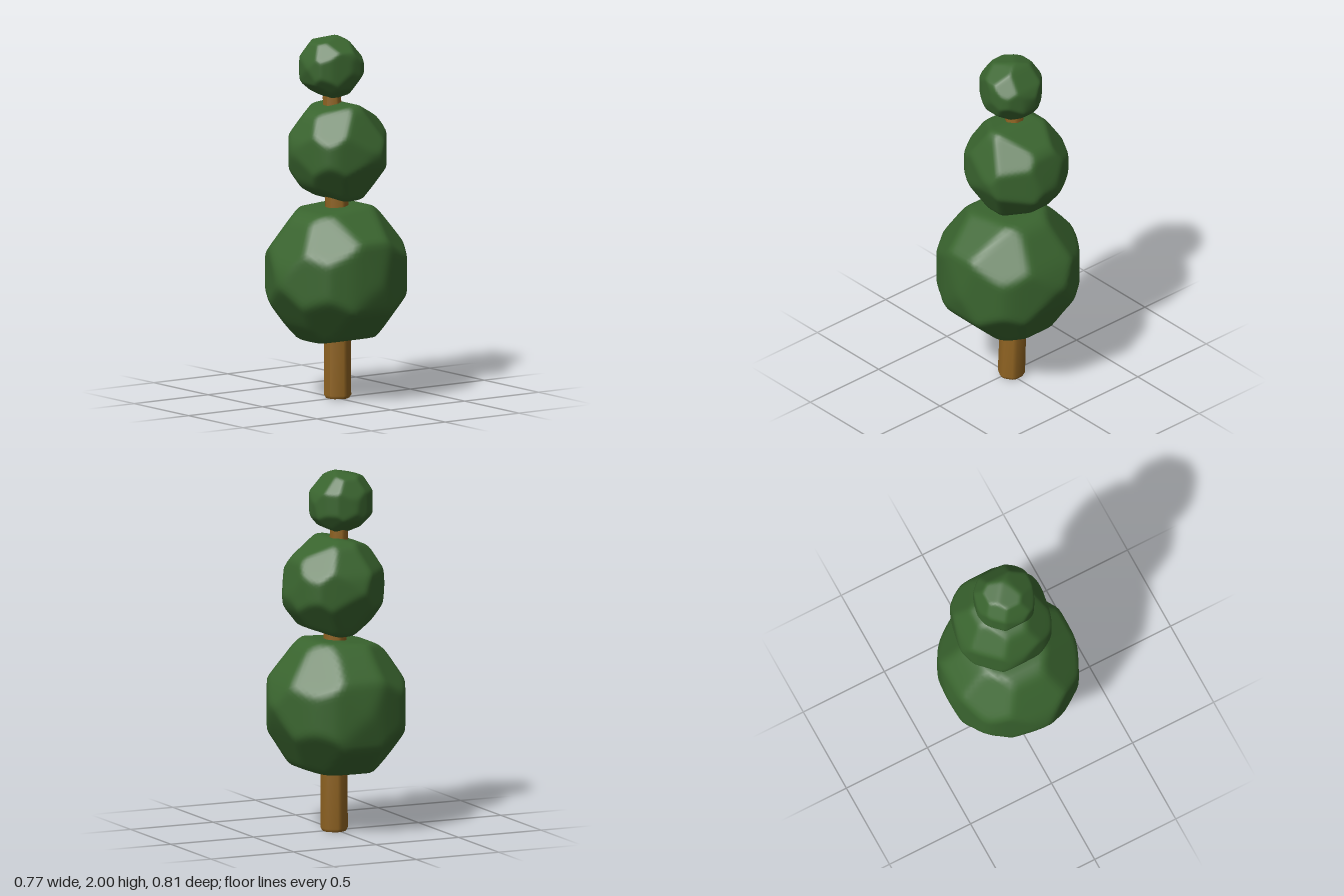
import * as THREE from 'three';
import { mergeVertices } from 'three/addons/utils/BufferGeometryUtils.js';

const leafMaterial = new THREE.MeshStandardMaterial({ color: 0x3a652f });
const barkMaterial = new THREE.MeshStandardMaterial({ color: 0x8f6322 });

// Clipping planes from the edges of a profile drawn in two of the axes (0 = x, 1 = y, 2 = z)
function profilePlanes(points, u, v, centre) {
  return points.map((a, i) => {
    const b = points[(i + 1) % points.length];
    const normal = new THREE.Vector3();
    normal.setComponent(u, b[1] - a[1]).setComponent(v, a[0] - b[0]).normalize();
    const corner = centre.clone().setComponent(u, a[0]).setComponent(v, a[1]);
    const distance = normal.dot(corner.sub(centre));
    return distance < 0 ? [normal.negate(), -distance] : [normal, distance];
  });
}

// A foliage ball clipped by its three profiles and eight corner facets, with softened edges
function foliage(name, centreXYZ, radius, front, side, top) {
  const centre = new THREE.Vector3(...centreXYZ);
  const planes = [
    ...profilePlanes(front, 0, 1, centre),
    ...profilePlanes(side, 2, 1, centre),
    ...profilePlanes(top, 0, 2, centre),
  ];
  for (const x of [-1, 1]) for (const y of [-1, 1]) for (const z of [-1, 1]) {
    planes.push([new THREE.Vector3(x, y, z).normalize(), radius * 0.96]);
  }
  let geometry = new THREE.IcosahedronGeometry(1, 17);
  geometry.deleteAttribute('normal');
  geometry.deleteAttribute('uv');
  geometry = mergeVertices(geometry, 1e-5);
  const position = geometry.attributes.position;
  const d = new THREE.Vector3();
  for (let i = 0; i < position.count; i++) {
    d.fromBufferAttribute(position, i).normalize();
    let sum = 0;
    for (const [n, h] of planes) sum += Math.max(0, radius * n.dot(d) / h) ** 70;
    d.multiplyScalar(radius * sum ** (-1 / 70)).add(centre);
    position.setXYZ(i, d.x, d.y, d.z);
  }
  geometry.computeVertexNormals();
  const mesh = new THREE.Mesh(geometry, leafMaterial);
  mesh.name = name;
  return mesh;
}

// Slightly bent, tapering six-sided trunk with chamfered edges and foot
function trunk() {
  // height, centre x, centre z, radius
  const rings = [
    [0, -0.01, -0.015, 0.064],
    [0.018, -0.01, -0.015, 0.075],
    [0.33, -0.018, -0.02, 0.073],
    [0.7, -0.018, -0.016, 0.068],
    [1.08, -0.01, -0.01, 0.063],
    [1.36, -0.025, -0.005, 0.057],
    [1.65, -0.044, -0.002, 0.05],
    [1.78, -0.045, 0, 0.045],
  ];
  const last = rings.length - 1;
  const geometry = new THREE.CylinderGeometry(1, 1, last, 12, last, false, Math.PI / 12);
  const position = geometry.attributes.position;
  const step = Math.PI / 3;
  for (let i = 0; i < position.count; i++) {
    const [y, cx, cz, r] = rings[Math.round(position.getY(i) + last / 2)];
    const reach = r * Math.hypot(position.getX(i), position.getZ(i));
    // Pull the twelve sides into pairs around the six corners
    const angle = Math.atan2(position.getX(i), position.getZ(i));
    const corner = (Math.floor(angle / step) + 0.5) * step;
    const pulled = corner + (angle - corner) * 0.6;
    position.setXYZ(i, cx + reach * Math.sin(pulled), y, cz + reach * Math.cos(pulled));
  }
  geometry.computeVertexNormals();
  const mesh = new THREE.Mesh(geometry, barkMaterial);
  mesh.name = 'trunk';
  return mesh;
}

export function createModel() {
  const group = new THREE.Group();
  group.name = 'topiaryTree';
  group.add(trunk());

  // Profiles: front as [x, y], side as [z, y], top as [x, z]
  group.add(foliage('lowerFoliage', [0, 0.69, 0], 0.395,
    [[-0.165, 1.07], [0.13, 1.07], [0.36, 0.9], [0.387, 0.66], [0.35, 0.51], [0.18, 0.345],
      [0, 0.307], [-0.17, 0.33], [-0.35, 0.49], [-0.392, 0.68], [-0.36, 0.865], [-0.24, 1.01]],
    [[0.19, 1.04], [-0.15, 1.075], [-0.22, 1.035], [-0.36, 0.84], [-0.41, 0.72], [-0.375, 0.62],
      [-0.245, 0.37], [-0.15, 0.335], [0.1, 0.305], [0.18, 0.325], [0.27, 0.41], [0.415, 0.655],
      [0.385, 0.76], [0.25, 1]],
    [[-0.05, -0.415], [0.03, -0.4], [0.24, -0.305], [0.29, -0.265], [0.325, -0.2], [0.39, -0.03],
      [0.355, 0.14], [0.295, 0.265], [0.24, 0.305], [0.045, 0.41], [-0.025, 0.4], [-0.255, 0.3],
      [-0.295, 0.265], [-0.375, 0.09], [-0.393, 0.02], [-0.355, -0.165], [-0.3, -0.255], [-0.25, -0.3]]));

  group.add(foliage('middleFoliage', [-0.03, 1.36, -0.03], 0.278,
    [[-0.14, 1.63], [0.13, 1.63], [0.16, 1.6], [0.253, 1.37], [0.24, 1.31], [0.13, 1.11],
      [0.08, 1.088], [-0.15, 1.088], [-0.2, 1.115], [-0.313, 1.355], [-0.29, 1.44], [-0.2, 1.595]],
    [[-0.045, 1.637], [-0.24, 1.545], [-0.27, 1.51], [-0.315, 1.315], [-0.29, 1.245], [-0.22, 1.15],
      [-0.045, 1.087], [-0.01, 1.087], [0.165, 1.16], [0.195, 1.2], [0.253, 1.365], [0.24, 1.42],
      [0.165, 1.567], [0.13, 1.592]],
    [[-0.09, -0.308], [0.02, -0.319], [0.05, -0.305], [0.23, -0.16], [0.253, -0.12], [0.253, -0.08],
      [0.2, 0.13], [0.17, 0.175], [0.12, 0.205], [-0.04, 0.247], [-0.1, 0.247], [-0.14, 0.225],
      [-0.27, 0.1], [-0.313, 0.03], [-0.295, -0.06], [-0.25, -0.215], [-0.2, -0.26]]));

  group.add(foliage('upperFoliage', [-0.035, 1.825, 0.015], 0.177,
    [[-0.03, 2.003], [0, 1.995], [0.125, 1.92], [0.137, 1.88], [0.137, 1.81], [0.105, 1.715],
      [-0.015, 1.648], [-0.07, 1.66], [-0.185, 1.735], [-0.207, 1.78], [-0.2, 1.86], [-0.15, 1.965]],
    [[-0.02, 2.003], [-0.055, 1.98], [-0.14, 1.88], [-0.162, 1.83], [-0.15, 1.745], [-0.115, 1.7],
      [0, 1.648], [0.045, 1.663], [0.165, 1.74], [0.192, 1.83], [0.18, 1.87], [0.13, 1.965]],
    [[-0.06, -0.163], [0.02, -0.152], [0.1, -0.115], [0.125, -0.08], [0.138, -0.01], [0.105, 0.105],
      [0.07, 0.16], [-0.01, 0.193], [-0.11, 0.172], [-0.175, 0.11], [-0.207, 0.03], [-0.18, -0.075],
      [-0.13, -0.125]]));
  return group;
}
